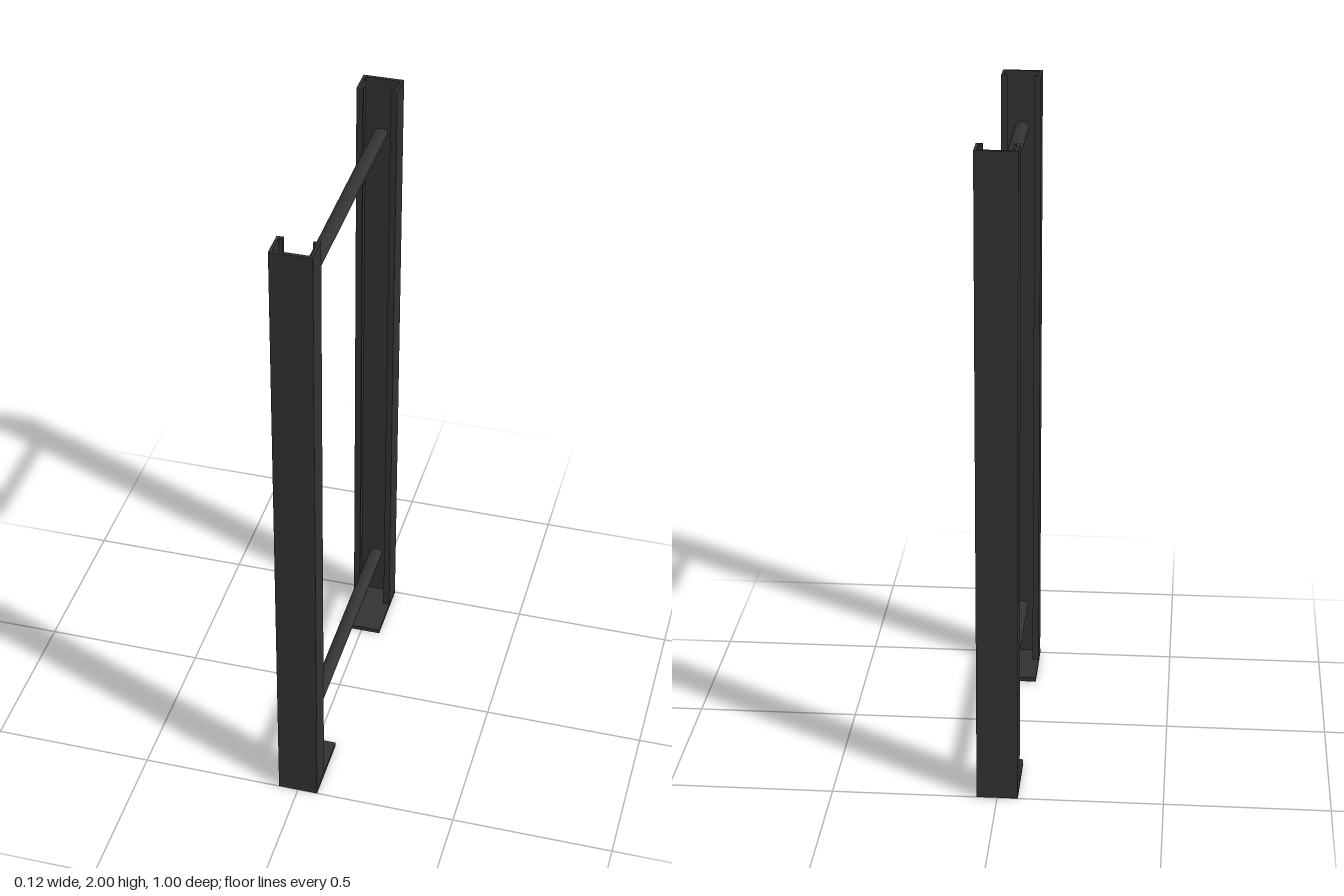
import * as THREE from 'three';

const material = new THREE.MeshStandardMaterial({ color: 0x333333 });
const W = 0.062, BACK = 0.5, LIP = 0.417, T = 0.011, PLATE = 0.014;

function mesh(name, geometry, parent) {
  const m = new THREE.Mesh(geometry, material);
  m.name = name;
  parent.add(m);
  return m;
}

// Lipped C-channel section, mirrored about x = 0; second coordinate is depth z
function channelSection() {
  const half = [[W, BACK], [W, LIP], [0.042, LIP], [0.042, LIP + T], [W - T + 0.002, LIP + T], [W - T + 0.002, BACK - T]];
  const all = [...half, ...half.map(([x, z]) => [-x, z]).reverse()];
  return new THREE.Shape(all.map(([x, z]) => new THREE.Vector2(x, -z)));
}

// Upright channel with its foot plate, open side facing inwards
function createPost(name) {
  const post = new THREE.Group();
  post.name = name;
  const channel = new THREE.ExtrudeGeometry(channelSection(), { depth: 2 - PLATE, bevelEnabled: false });
  channel.rotateX(-Math.PI / 2);
  channel.translate(0, PLATE, 0);
  mesh('channel', channel, post);
  const plate = mesh('footPlate', new THREE.BoxGeometry(2 * W + 0.001, PLATE, 0.22), post);
  plate.position.set(0, PLATE / 2, 0.39);
  return post;
}

export function createModel() {
  const model = new THREE.Group();
  model.name = 'uprightFrame';

  const front = createPost('frontPost');
  const back = createPost('backPost');
  back.rotation.y = Math.PI;
  model.add(front, back);

  // Flattened oval cross bars
  for (const [name, y] of [['lowerBar', 0.192], ['upperBar', 1.829]]) {
    const bar = new THREE.CylinderGeometry(1, 1, 0.94, 32);
    bar.rotateX(Math.PI / 2);
    bar.scale(0.022, 0.0145, 1);
    mesh(name, bar, model).position.y = y;
  }
  return model;
}
